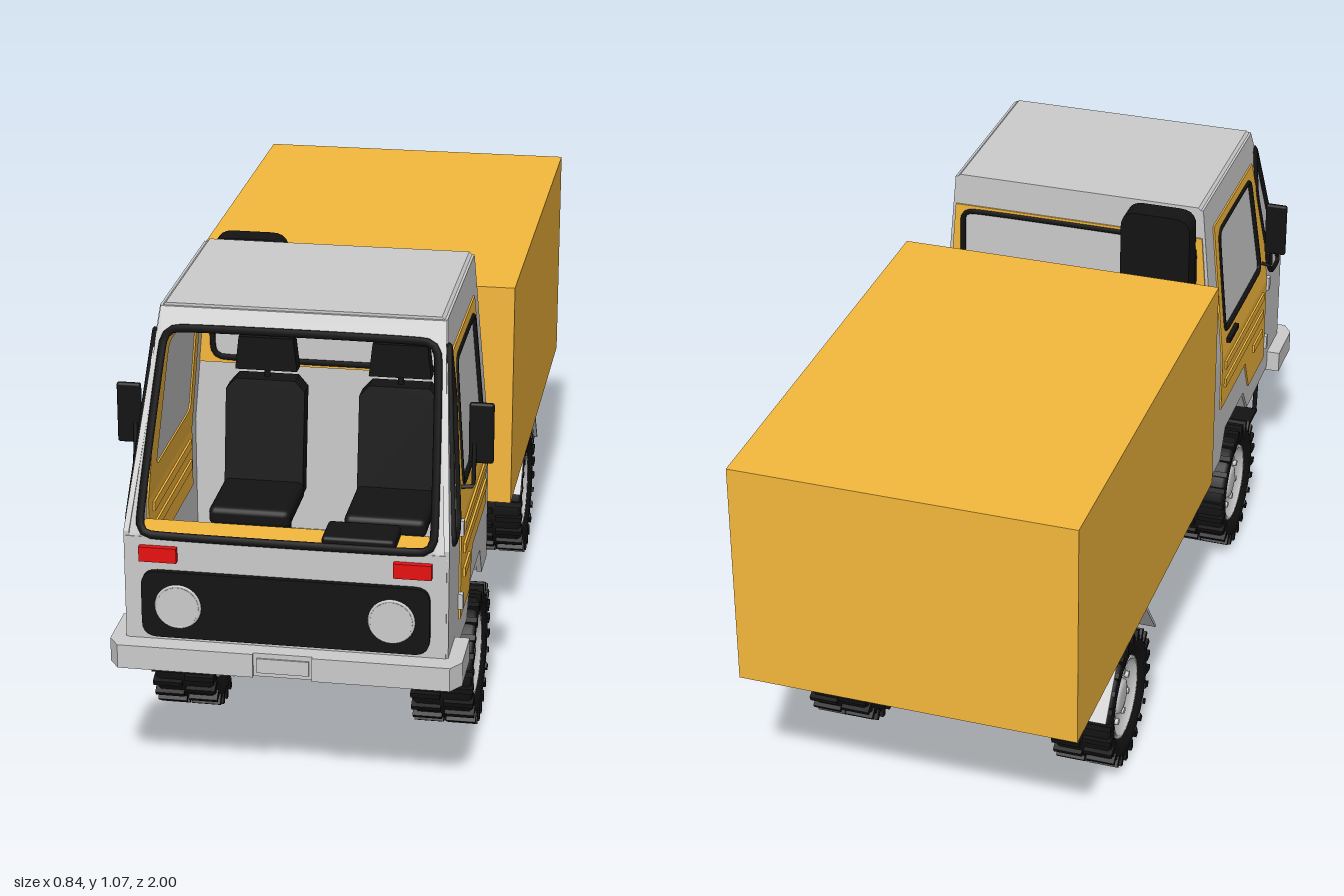
import * as THREE from 'three';
import { RoundedBoxGeometry } from 'three/addons/geometries/RoundedBoxGeometry.js';

const mat = (color) => new THREE.MeshStandardMaterial({ color });
const GREY = mat(0xcccccc), YELLOW = mat(0xf5b83c), BLACK = mat(0x131313), RED = mat(0xe81010);
const V2 = (p) => new THREE.Vector2(p[0], p[1]);

// Cab surface rules: side walls lean in above the belt line, the windshield leans back
const BELT = 0.62;
const lean = (y) => 0.349 - Math.max(0, y - BELT) * 0.09;
const slopeZ = (y) => 0.945 - Math.max(0, y - BELT) * 0.51;

function add(parent, name, geo, material, x = 0, y = 0, z = 0) {
  const mesh = new THREE.Mesh(geo, material);
  mesh.name = name;
  mesh.position.set(x, y, z);
  parent.add(mesh);
  return mesh;
}
const box = (parent, name, material, w, h, d, x, y, z) =>
  add(parent, name, new THREE.BoxGeometry(w, h, d), material, x, y, z);

// Polygon points with every corner rounded by radius r
function roundPoly(corners, r) {
  const c = corners.map(V2), shape = new THREE.Shape(), n = c.length;
  c.forEach((p, i) => {
    const toward = (q) => p.clone().add(q.clone().sub(p).setLength(r));
    const a = toward(c[(i + n - 1) % n]), b = toward(c[(i + 1) % n]);
    if (i) shape.lineTo(a.x, a.y); else shape.moveTo(a.x, a.y);
    shape.quadraticCurveTo(p.x, p.y, b.x, b.y);
  });
  return shape.getPoints(5);
}

// Flat plate centred on its own plane, with optional hole
function plate(points, depth, hole) {
  const shape = new THREE.Shape(points.map((p) => (p.isVector2 ? p : V2(p))));
  if (hole) shape.holes.push(new THREE.Path(hole));
  return new THREE.ExtrudeGeometry(shape, { depth, bevelEnabled: false }).translate(0, 0, -depth / 2);
}
function shift(geo, rule) {
  const p = geo.attributes.position, v = new THREE.Vector3();
  for (let i = 0; i < p.count; i++) {
    v.fromBufferAttribute(p, i);
    rule(v);
    p.setXYZ(i, v.x, v.y, v.z);
  }
  geo.computeVertexNormals();
  return geo;
}
// Plate drawn in (z, y) and laid onto the left (s = 1) or right (s = -1) cab side
const sidePlate = (s, points, depth, hole) =>
  shift(plate(points, depth, hole).rotateY(-Math.PI / 2), (v) => { v.x += s * lean(v.y); });

// Rubber seal following a closed outline
function seal(parent, name, points, r, place) {
  const pts = points.map((p) => place(p.x, p.y));
  const curve = new THREE.CatmullRomCurve3(pts, true, 'centripetal');
  add(parent, name, new THREE.TubeGeometry(curve, 120, r, 6, true), BLACK);
}
function bar(parent, name, material, r, ...pts) {
  const path = new THREE.CurvePath();
  const v = pts.map((p) => new THREE.Vector3(...p));
  for (let i = 1; i < v.length; i++) path.add(new THREE.LineCurve3(v[i - 1], v[i]));
  add(parent, name, new THREE.TubeGeometry(path, (v.length - 1) * 8, r, 6), material);
}

function buildCabSide(cab, s) {
  add(cab, 'lowerSideWall', sidePlate(s, [[0.26, 0.31], [0.355, 0.31], [0.4, 0.385], [0.58, 0.385],
    [0.63, 0.315], [0.95, 0.33], [0.95, BELT], [0.26, BELT]], 0.012), GREY);
  add(cab, 'upperSideWall', sidePlate(s, [[0.26, BELT], [0.95, BELT], [0.72, 1.06], [0.26, 1.06]], 0.012), GREY);
  // Door, stamped ribs and window seals
  const win = roundPoly([[0.365, 0.68], [0.72, 0.68], [0.67, 0.955], [0.365, 0.955]], 0.025);
  add(cab, 'lowerDoor', sidePlate(s, [[0.33, 0.475], [0.575, 0.475], [0.62, 0.385], [0.78, 0.385],
    [0.78, BELT], [0.33, BELT]], 0.02), YELLOW);
  add(cab, 'upperDoor', sidePlate(s, [[0.33, BELT], [0.78, BELT], [0.78, 0.74], [0.7, 0.985], [0.33, 0.985]], 0.02, win), YELLOW);
  const onSide = (z, y) => new THREE.Vector3(s * (lean(y) + 0.007), y, z);
  seal(cab, 'doorWindowSeal', win, 0.008, onSide);
  seal(cab, 'quarterWindowSeal', roundPoly([[0.905, 0.615], [0.738, 1.02], [0.73, 0.89], [0.81, 0.64], [0.84, 0.615]], 0.02), 0.008, onSide);
  for (const [y, z0, z1] of [[0.59, 0.355, 0.74], [0.538, 0.355, 0.74], [0.48, 0.65, 0.74]])
    box(cab, 'doorRib', YELLOW, 0.03, 0.022, z1 - z0, s * 0.349, y, (z0 + z1) / 2);
  box(cab, 'doorHandle', BLACK, 0.014, 0.012, 0.085, s * 0.36, 0.652, 0.415);
  for (const y of [0.607, 0.432]) box(cab, 'doorHinge', GREY, 0.02, 0.036, 0.016, s * 0.356, y, 0.785);
  // Mirror on its arm
  add(cab, 'mirror', new RoundedBoxGeometry(0.055, 0.14, 0.014, 2, 0.006), BLACK, s * 0.392, 0.803, 0.715);
  bar(cab, 'mirrorArm', BLACK, 0.005, [s * 0.345, 0.685, 0.745], [s * 0.378, 0.685, 0.735], [s * 0.378, 0.78, 0.72]);
  // Step under the door
  for (const x of [0.29, 0.345])
    bar(cab, 'stepFrame', BLACK, 0.006, [s * x, 0.33, 0.77], [s * x, 0.232, 0.76], [s * x, 0.228, 0.66], [s * x, 0.25, 0.655]);
  box(cab, 'stepTread', BLACK, 0.07, 0.008, 0.1, s * 0.317, 0.232, 0.71);
  box(cab, 'cabMount', GREY, 0.05, 0.09, 0.025, s * 0.2, 0.27, 0.28);
  // Seat
  const seat = new THREE.Group();
  seat.name = 'seat';
  seat.position.x = s * 0.157;
  cab.add(seat);
  add(seat, 'cushion', new RoundedBoxGeometry(0.19, 0.045, 0.2, 2, 0.015), BLACK, 0, 0.5, 0.47);
  box(seat, 'seatBase', BLACK, 0.13, 0.14, 0.12, 0, 0.41, 0.45);
  const back = plate([[-0.093, 0.49], [0.093, 0.49], [0.093, 0.735], [0.07, 0.76], [-0.07, 0.76], [-0.093, 0.735]], 0.05);
  add(seat, 'backrest', shift(back, (v) => { v.z += 0.37 - (v.y - 0.49) * 0.15; }), BLACK);
  add(seat, 'headrest', plate([[-0.073, 0.78], [0.073, 0.78], [0.064, 0.86], [-0.064, 0.86]], 0.04), BLACK, 0, 0, 0.325);
  bar(seat, 'headrestPost', BLACK, 0.007, [0, 0.74, 0.33], [0, 0.8, 0.325]);
}

function buildCab() {
  const cab = new THREE.Group();
  cab.name = 'cab';
  for (const s of [1, -1]) buildCabSide(cab, s);
  // Roof with chamfered edges
  const roof = plate([[-0.315, 1.045], [0.315, 1.045], [0.312, 1.058], [0.303, 1.066], [-0.303, 1.066], [-0.312, 1.058]], 0.46);
  add(cab, 'roof', roof, GREY, 0, 0, 0.49);
  // Windshield surround, open in the middle
  const wind = roundPoly([[-0.322, 0.615], [0.322, 0.615], [0.3, 1.018], [-0.3, 1.018]], 0.035);
  const surround = plate([[-0.352, 0.6], [0.352, 0.6], [0.313, 1.06], [-0.313, 1.06]], 0.012, wind);
  add(cab, 'windshieldFrame', shift(surround, (v) => { v.z += slopeZ(v.y); }), GREY);
  seal(cab, 'windshieldSeal', wind, 0.009, (x, y) => new THREE.Vector3(x, y, slopeZ(y) + 0.006));
  box(cab, 'frontPanel', GREY, 0.7, 0.29, 0.014, 0, 0.465, 0.945);
  // Rear wall with framed window
  add(cab, 'rearWall', plate([[-0.35, 0.32], [0.35, 0.32], [0.35, BELT], [0.312, 1.06], [-0.312, 1.06], [-0.35, BELT]], 0.012), GREY, 0, 0, 0.266);
  const rear = roundPoly([[-0.297, 0.782], [0.297, 0.782], [0.297, 0.972], [-0.297, 0.972]], 0.03);
  add(cab, 'rearWindowPanel', plate([[-0.333, 0.768], [0.333, 0.768], [0.315, 0.986], [-0.315, 0.986]], 0.02, rear), YELLOW, 0, 0, 0.266);
  for (const z of [0.257, 0.275]) seal(cab, 'rearWindowSeal', rear, 0.007, (x, y) => new THREE.Vector3(x, y, z));
  // Floor and dashboard
  box(cab, 'centreFloor', GREY, 0.46, 0.02, 0.68, 0, 0.345, 0.605);
  box(cab, 'frontFloor', GREY, 0.69, 0.02, 0.31, 0, 0.335, 0.79);
  box(cab, 'rearFloor', GREY, 0.69, 0.02, 0.09, 0, 0.33, 0.305);
  box(cab, 'dashboard', YELLOW, 0.68, 0.05, 0.13, 0, 0.565, 0.873);
  add(cab, 'instrumentBox', new RoundedBoxGeometry(0.16, 0.04, 0.095, 2, 0.008), BLACK, 0.15, 0.595, 0.855);
  // Grille, lamps, bumper
  add(cab, 'grille', plate(roundPoly([[-0.316, 0.38], [0.316, 0.38], [0.316, 0.535], [-0.316, 0.535]], 0.035), 0.016), BLACK, 0, 0, 0.957);
  for (const s of [1, -1]) {
    add(cab, 'headlight', new THREE.CylinderGeometry(0.046, 0.05, 0.016, 32).rotateX(Math.PI / 2), GREY, s * 0.234, 0.457, 0.965);
    add(cab, 'headlightRim', new THREE.TorusGeometry(0.048, 0.004, 6, 32), GREY, s * 0.234, 0.457, 0.969);
    box(cab, 'turnSignal', RED, 0.083, 0.034, 0.016, s * 0.278, 0.574, 0.958);
  }
  const half = [[0.34, 0.84], [0.388, 0.84], [0.388, 0.965], [0.365, 0.998], [0.065, 0.998], [0.065, 0.99]];
  const bumper = [...half, ...half.map(([x, z]) => [-x, z]).reverse(), [-0.34, 0.95], [0.34, 0.95]];
  add(cab, 'frontBumper', plate(bumper, 0.055).rotateX(Math.PI / 2), GREY, 0, 0.342, 0);
  box(cab, 'numberPlate', GREY, 0.115, 0.034, 0.008, 0, 0.341, 0.99);
  // Beam tying the two steps together
  add(cab, 'stepBeam', plate([[-0.29, 0.25], [0.29, 0.25], [0.31, 0.285], [-0.31, 0.285]], 0.03), GREY, 0, 0, 0.73);
  return cab;
}

function buildWheel(s) {
  const wheel = new THREE.Group();
  wheel.name = 'wheel';
  const lathe = (pts) => new THREE.LatheGeometry(pts.map(V2), 40).rotateZ(-Math.PI / 2);
  // The lathe axis becomes +x, which is outboard
  add(wheel, 'tyre', lathe([[0.098, -0.055], [0.12, -0.068], [0.148, -0.068], [0.155, -0.06],
    [0.155, 0.06], [0.148, 0.068], [0.12, 0.068], [0.098, 0.055]]), BLACK);
  const rim = add(wheel, 'rim', lathe([[0.09, -0.055], [0.1, -0.06], [0.1, 0.06], [0.092, 0.06], [0.086, 0.045],
    [0.045, 0.04], [0.04, 0.052], [0.026, 0.055], [0, 0.055]]), mat(0xcccccc));
  rim.material.side = THREE.DoubleSide;
  for (let i = 0; i < 8; i++) {
    const a = (i + 0.5) * Math.PI / 4;
    add(wheel, 'wheelBolt', new THREE.CylinderGeometry(0.008, 0.008, 0.012, 8).rotateZ(Math.PI / 2), GREY, 0.045, 0.062 * Math.cos(a), 0.062 * Math.sin(a));
  }
  // Staggered tread blocks
  for (let i = 0; i < 48; i++) {
    const lug = new THREE.BoxGeometry(0.068, 0.026, 0.0135).translate(i % 2 ? 0.038 : -0.038, 0.152, 0);
    add(wheel, 'treadLug', lug, BLACK).rotation.x = i * Math.PI / 24;
  }
  if (s < 0) wheel.rotation.y = Math.PI;
  return wheel;
}

function buildChassis() {
  const chassis = new THREE.Group();
  chassis.name = 'chassis';
  for (const s of [1, -1]) box(chassis, 'frameRail', GREY, 0.026, 0.052, 1.68, s * 0.132, 0.341, 0.04);
  for (const z of [0.2, -0.1, -0.42, -0.78]) box(chassis, 'crossMember', GREY, 0.26, 0.04, 0.035, 0, 0.341, z);
  for (const z of [0.05, -0.3, -0.74]) box(chassis, 'boxSupport', GREY, 0.5, 0.026, 0.04, 0, 0.378, z);
  // Axles, leaf springs, wheels and mudguards
  for (const z of [0.49, -0.51]) {
    add(chassis, 'axle', new THREE.CylinderGeometry(0.022, 0.022, 0.56, 20).rotateZ(Math.PI / 2), GREY, 0, 0.168, z);
    for (const s of [1, -1]) {
      for (let i = 0; i < 5; i++)
        box(chassis, 'springLeaf', GREY, 0.036, 0.009, 0.1 + i * 0.06, s * 0.132, 0.195 + i * 0.0115, z);
      for (const e of [1, -1]) box(chassis, 'springShackle', GREY, 0.024, 0.085, 0.02, s * 0.132, 0.28, z + e * 0.16);
      const wheel = buildWheel(s);
      wheel.position.set(s * 0.302, 0.165, z);
      chassis.add(wheel);
      // Front arches follow the cab cut-out; rear guards are wider
      const arch = z > 0 ? [[0.135, 0.315], [0.09, 0.383]] : [[0.2, 0.235], [0.095, 0.368]];
      const t = 0.008, [[a, ya], [b, yb]] = arch;
      const guard = plate([[-a, ya], [-b, yb], [b, yb], [a, ya], [a + t, ya], [b + t / 2, yb + t], [-b - t / 2, yb + t], [-a - t, ya]], 0.14);
      add(chassis, 'mudguard', guard.rotateY(-Math.PI / 2), GREY, s * (z > 0 ? 0.28 : 0.305), 0, z);
    }
  }
  // Tank with straps and battery box on the left
  add(chassis, 'fuelTank', new RoundedBoxGeometry(0.14, 0.09, 0.35, 2, 0.012), GREY, 0.225, 0.27, -0.095);
  for (const z of [0.017, -0.195]) box(chassis, 'tankStrap', BLACK, 0.155, 0.118, 0.034, 0.225, 0.27, z);
  box(chassis, 'batteryBox', BLACK, 0.1, 0.1, 0.095, 0.192, 0.256, 0.152);
  box(chassis, 'batteryLid', GREY, 0.096, 0.012, 0.09, 0.192, 0.308, 0.152);
  // Rear bumper with turned-in ends
  box(chassis, 'rearBumper', GREY, 0.66, 0.055, 0.025, 0, 0.343, -0.887);
  for (const s of [1, -1]) {
    box(chassis, 'rearBumperEnd', GREY, 0.03, 0.055, 0.07, s * 0.345, 0.343, -0.864);
    box(chassis, 'bumperBracket', GREY, 0.02, 0.03, 0.1, s * 0.132, 0.341, -0.835);
  }
  return chassis;
}

export function createModel() {
  const truck = new THREE.Group();
  truck.name = 'boxTruck';
  truck.add(buildCab(), buildChassis());
  box(truck, 'cargoBox', YELLOW, 0.79, 0.546, 1.12, 0, 0.663, -0.44);
  // Air intake behind the cab
  const c = roundPoly([[-0.302, 0.64], [-0.13, 0.64], [-0.13, 1.065], [-0.302, 1.065]], 0.04);
  add(truck, 'airIntake', plate(c, 0.06), BLACK, 0, 0, 0.217);
  box(truck, 'airIntakeMount', BLACK, 0.06, 0.2, 0.03, -0.216, 0.86, 0.25);
  return truck;
}
